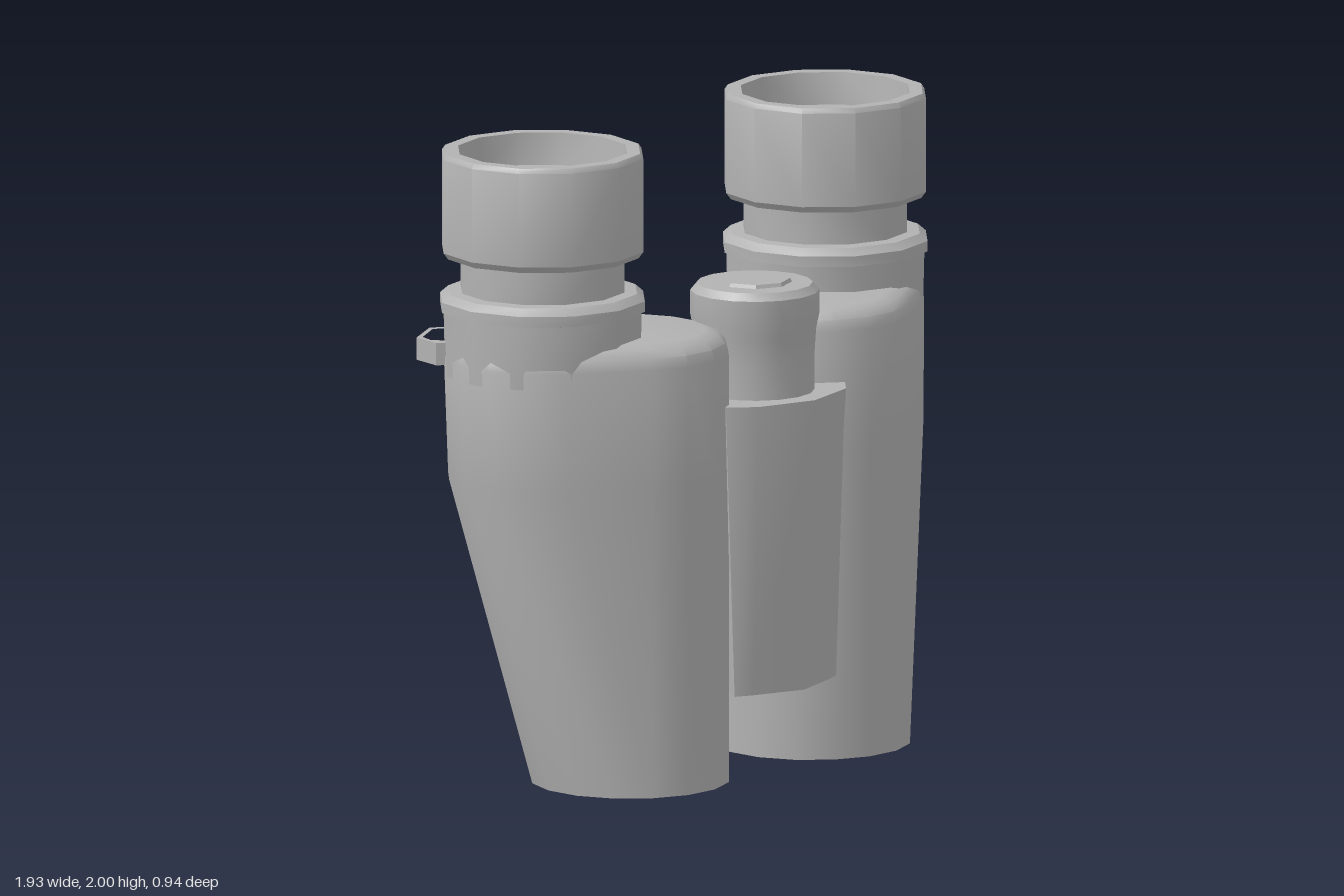
import * as THREE from 'three';
import { toCreasedNormals } from 'three/addons/utils/BufferGeometryUtils.js';

const grey = new THREE.MeshStandardMaterial({ color: 0xb2b2b2 });
grey.name = 'grey';

const EYE = [0.64, -0.09];   // eyepiece axis (x, z)
const LENS = [0.41, 0.065];  // objective axis (x, z)

function lathe(points, sides = 12) {
  return new THREE.LatheGeometry(points.map(([r, y]) => new THREE.Vector2(r, y)), sides);
}

// Skin a list of equal rings of [x, y, z] points, listed from bottom to top
function loft(rings) {
  const n = rings[0].length;
  const index = [];
  for (let i = 0; i < rings.length - 1; i++) {
    for (let j = 0; j < n; j++) {
      const a = i * n + j, b = i * n + (j + 1) % n;
      index.push(a, a + n, b, b, a + n, b + n);
    }
  }
  const geo = new THREE.BufferGeometry();
  geo.setAttribute('position', new THREE.Float32BufferAttribute(rings.flat(2), 3));
  geo.setIndex(index);
  return geo;
}

// Ring around two equal circles: the lens circle and one moved k of the way to the eyepiece
function stadium(y, r, k) {
  const dx = EYE[0] - LENS[0], dz = EYE[1] - LENS[1];
  const heading = Math.atan2(dz, dx), half = 8, ring = [];
  for (const [start, shift] of [[-Math.PI / 2, k], [Math.PI / 2, 0]]) {
    for (let i = 0; i <= half; i++) {
      const t = heading + start + (Math.PI * i) / half;
      ring.push([LENS[0] + dx * shift + r * Math.cos(t), y, LENS[1] + dz * shift + r * Math.sin(t)]);
    }
  }
  return ring;
}

// Mirror a geometry in x and restore its winding
function mirrored(geo) {
  const g = geo.index ? geo.toNonIndexed() : geo.clone();
  const p = g.attributes.position;
  const v = [0, 1, 2].map(() => new THREE.Vector3());
  for (let i = 0; i < p.count; i += 3) {
    v.forEach((c, k) => c.fromBufferAttribute(p, i + k));
    [v[0], v[2], v[1]].forEach((c, k) => p.setXYZ(i + k, -c.x, c.y, c.z));
  }
  return g;
}

function barrelParts() {
  // Tapered body with a hollow front end and rounded shoulder
  const body = loft([
    [0.12, 0.001, 0], [0.12, 0.27, 0], [0, 0.275, 0], [0, 0.31, 0],
    [0.97, 0.31, 0.95], [1.35, 0.31, 1], [1.385, 0.3, 1],
    [1.41, 0.275, 1], [1.42, 0.235, 1], [1.42, 0.001, 1],
  ].map((ring) => stadium(...ring)));

  // Collar and neck below the eyepiece
  const collar = lathe([
    [0.31, 1.3], [0.315, 1.5], [0.325, 1.502], [0.325, 1.535],
    [0.3, 1.557], [0.26, 1.56], [0.26, 1.69],
  ]).translate(EYE[0], 0, EYE[1]);

  // Eyecup with stepped inside
  const eyecup = lathe([
    [0.25, 1.67], [0.305, 1.67], [0.32, 1.69], [0.32, 1.985], [0.31, 2],
    [0.268, 2], [0.255, 1.9], [0.215, 1.9], [0.205, 1.86], [0.15, 1.85], [0, 1.85],
  ]).translate(EYE[0], 0, EYE[1]);

  // Strap loop, drawn in plan as (x, -z)
  const outline = [[0.64, 0.36], [0.66, 0.415], [0.745, 0.47], [0.885, 0.395], [0.908, 0.29], [0.86, 0.25]];
  const hole = [[0.72, 0.39], [0.725, 0.43], [0.755, 0.448], [0.865, 0.387], [0.882, 0.34], [0.86, 0.3]];
  const toVectors = (list) => list.map(([x, y]) => new THREE.Vector2(x, y));
  const shape = new THREE.Shape(toVectors(outline));
  shape.holes.push(new THREE.Path(toVectors(hole)));
  const strapLoop = new THREE.ExtrudeGeometry(shape, { depth: 0.07, bevelEnabled: false })
    .rotateX(-Math.PI / 2).translate(0, 1.33, 0);

  return { body, collar, eyecup, strapLoop };
}

export function createModel() {
  const model = new THREE.Group();
  model.name = 'binoculars';
  const add = (parent, name, geo) => {
    const mesh = new THREE.Mesh(toCreasedNormals(geo, 0.6), grey);
    mesh.name = name;
    parent.add(mesh);
  };

  // Two mirrored barrels
  const parts = barrelParts();
  for (const side of ['left', 'right']) {
    const barrel = new THREE.Group();
    barrel.name = side + 'Barrel';
    for (const [name, geo] of Object.entries(parts)) {
      add(barrel, name, side === 'left' ? geo : mirrored(geo));
    }
    model.add(barrel);
  }

  // Focus wheel with a small raised cap
  add(model, 'focusWheel', lathe([
    [0, 1.18], [0.185, 1.18], [0.185, 1.3], [0.19, 1.38], [0.2, 1.43],
    [0.2, 1.505], [0.18, 1.528], [0, 1.53],
  ], 16).translate(0, 0, 0.21));
  add(model, 'focusCap', new THREE.CylinderGeometry(0.11, 0.12, 0.02, 8).translate(0, 1.53, 0.21));

  // Ridged hinge bridge, slightly narrower towards the bottom
  const bridgeRing = (y, w, front) => [
    [w, y, 0.34], [w * 0.74, y, front - 0.055], [0, y, front], [-w * 0.74, y, front - 0.055],
    [-w, y, 0.34], [-0.14, y, 0.2], [0.14, y, 0.2],
  ];
  const bottom = bridgeRing(0.27, 0.23, 0.42), top = bridgeRing(1.19, 0.27, 0.465);
  const centre = (ring) => ring.map(([, y]) => [0, y, 0.3]);
  add(model, 'hingeBridge', loft([centre(bottom), bottom, top, centre(top)]));

  return model;
}
